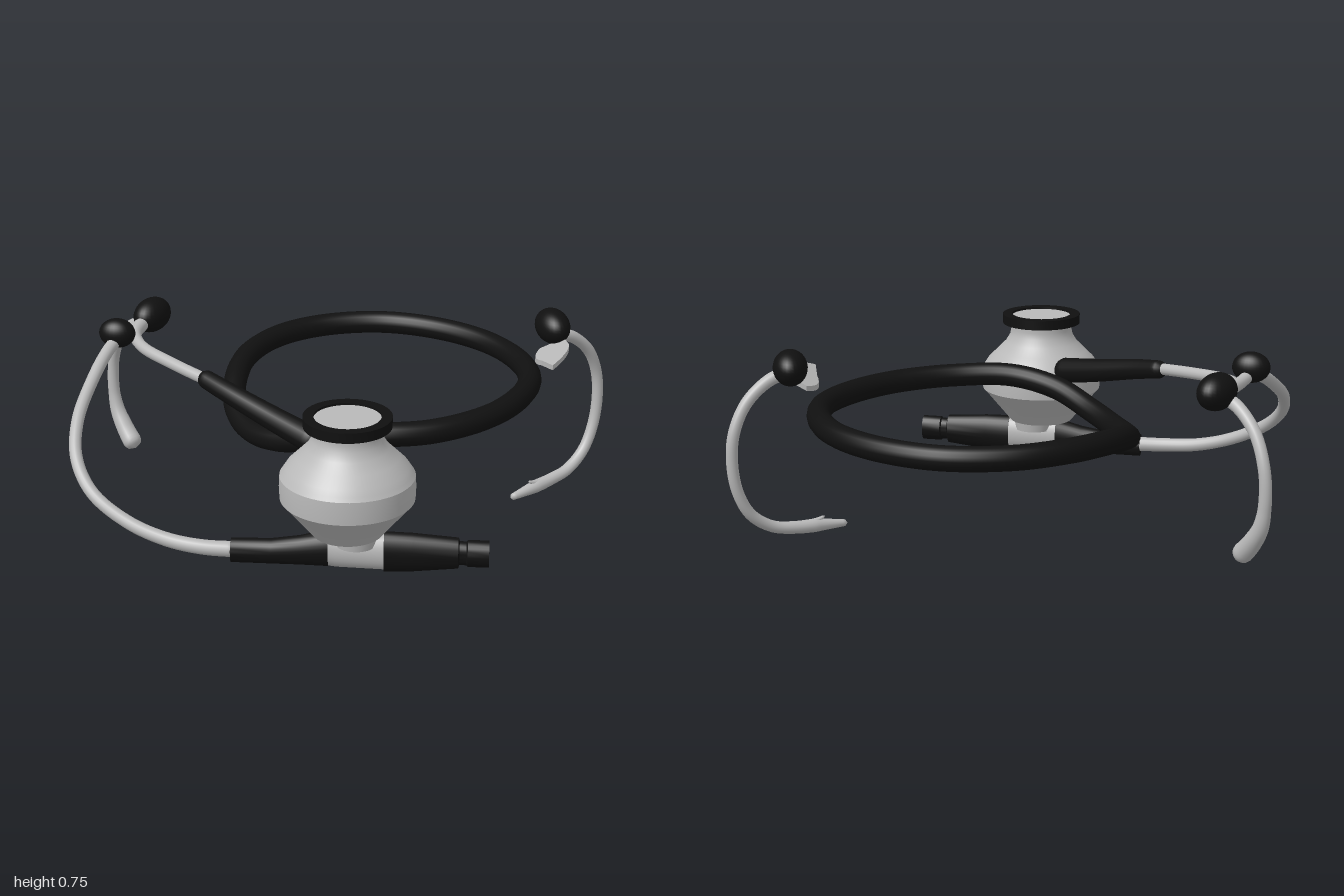
import * as THREE from 'three';
import { mergeVertices, toCreasedNormals } from 'three/addons/utils/BufferGeometryUtils.js';

const V = (p) => new THREE.Vector3(...p);

// Round tube through points; radii are spread along its length, ends are domed.
function sweep(points, radii, closed = false) {
  const curve = new THREE.CatmullRomCurve3(points.map(V), closed, 'centripetal');
  const len = curve.getLength();
  const n = Math.ceil(len / 0.012), sides = 16;
  let geo = new THREE.TubeGeometry(curve, n, 1, sides, closed);
  const pos = geo.attributes.position, v = new THREE.Vector3();
  for (let i = 0; i <= n; i++) {
    const t = i / n, c = curve.getPointAt(t);
    const f = t * (radii.length - 1), k = Math.min(Math.floor(f), radii.length - 2);
    let r = radii.length > 1 ? THREE.MathUtils.lerp(radii[k], radii[k + 1], f - k) : radii[0];
    const s = Math.min(t, 1 - t) * len;
    if (!closed && s < r) r *= Math.sqrt(Math.max(0, 1 - (1 - s / r) ** 2));
    for (let j = 0; j <= sides; j++) {
      const q = i * (sides + 1) + j;
      v.fromBufferAttribute(pos, q).sub(c).multiplyScalar(r).add(c);
      pos.setXYZ(q, v.x, v.y, v.z);
    }
  }
  geo.deleteAttribute('uv');
  geo.deleteAttribute('normal');
  geo = mergeVertices(geo, 1e-5);
  geo.computeVertexNormals();
  return geo;
}

// Oval solid along x from sections [x, centreY, radiusY, radiusZ].
function ovalLoft(sections, z) {
  const n = sections.length - 1;
  const geo = new THREE.CylinderGeometry(1, 1, 1, 28, n);
  const p = geo.attributes.position;
  for (let i = 0; i < p.count; i++) {
    const [x, yc, ry, rz] = sections[Math.round((p.getY(i) + 0.5) * n)];
    p.setXYZ(i, x, yc - p.getX(i) * ry, z + p.getZ(i) * rz);
  }
  geo.deleteAttribute('uv');
  return toCreasedNormals(geo, 0.6);
}

function lathe(profile) {
  const geo = new THREE.LatheGeometry(profile.map(([r, y]) => new THREE.Vector2(r, y)), 56);
  return toCreasedNormals(geo, 0.45);
}

export function createModel() {
  const group = new THREE.Group();
  const black = new THREE.MeshStandardMaterial({ color: 0x101010, name: 'black rubber' });
  const grey = new THREE.MeshStandardMaterial({ color: 0xb9b9b9, name: 'grey metal' });
  const add = (name, geo, mat) => {
    const m = new THREE.Mesh(geo, mat);
    m.name = name;
    group.add(m);
    return m;
  };
  const cx = 0.07, cz = 0.64;

  // Chest piece: drum, black rim, membrane
  add('chestPiece', lathe([
    [0, 0.25], [0.125, 0.25], [0.135, 0.262], [0.228, 0.375], [0.238, 0.385], [0.24, 0.43],
    [0.238, 0.47], [0.228, 0.485], [0.215, 0.505], [0.18, 0.54], [0.145, 0.575],
    [0.127, 0.605], [0.122, 0.63], [0.125, 0.66], [0, 0.66],
  ]), grey).position.set(cx, 0, cz);
  add('chestRim', lathe([
    [0.118, 0.652], [0.155, 0.652], [0.156, 0.69], [0.118, 0.69], [0.118, 0.652],
  ]), black).position.set(cx, 0, cz);
  add('membrane', new THREE.CylinderGeometry(0.12, 0.12, 0.02, 48), grey).position.set(cx, 0.672, cz);

  // Stem block and the rubber sleeves on both sides of it
  add('stemBlock', ovalLoft([
    [-0.01, 0.183, 0.066, 0.044], [0.03, 0.18, 0.068, 0.046], [0.2, 0.178, 0.07, 0.046],
  ], cz), grey);
  add('stemNeck', new THREE.CylinderGeometry(0.085, 0.075, 0.06, 24), grey)
    .position.set(0.1, 0.235, cz);
  add('leftSleeve', ovalLoft([
    [0.2, 0.176, 0.076, 0.046], [0.3, 0.177, 0.073, 0.044], [0.462, 0.18, 0.058, 0.04],
    [0.466, 0.18, 0.044, 0.034], [0.49, 0.18, 0.044, 0.034], [0.495, 0.18, 0.05, 0.038],
    [0.57, 0.18, 0.05, 0.038],
  ], cz), black);
  add('rightSleeve', ovalLoft([
    [-0.345, 0.16, 0.045, 0.037], [-0.2, 0.162, 0.047, 0.038],
    [-0.1, 0.17, 0.055, 0.041], [0.003, 0.182, 0.069, 0.046],
  ], cz), black);

  // Long metal tube sweeping from the sleeve to the small knob
  add('longTube', sweep([
    [-0.32, 0.163, 0.642], [-0.45, 0.167, 0.64], [-0.58, 0.182, 0.62], [-0.72, 0.225, 0.585],
    [-0.86, 0.305, 0.52], [-0.935, 0.395, 0.42], [-0.953, 0.49, 0.29], [-0.925, 0.59, 0.1],
    [-0.895, 0.645, -0.02], [-0.87, 0.67, -0.1],
  ], [0.029, 0.025, 0.023, 0.023, 0.024]), grey);

  // Yoke: branch to the hose and link between the knobs
  add('yokeBranch', sweep([
    [-0.81, 0.655, -0.33], [-0.82, 0.65, -0.2], [-0.77, 0.64, -0.09],
    [-0.64, 0.625, 0.03], [-0.47, 0.605, 0.16],
  ], [0.028, 0.022, 0.022, 0.022]), grey);
  add('yokeLink', sweep([
    [-0.87, 0.67, -0.1], [-0.845, 0.655, -0.18], [-0.815, 0.655, -0.32],
  ], [0.022, 0.024]), grey);

  // Rubber hose: thick lead and one coiled loop with a sag on its right side
  add('hoseLead', sweep([
    [-0.52, 0.612, 0.115], [-0.4, 0.585, 0.21], [-0.22, 0.54, 0.335], [-0.04, 0.5, 0.46],
  ], [0.034, 0.04, 0.046, 0.052]), black);
  add('hoseLoop', sweep([
    [0.13, 0.497, 0.355], [0.34, 0.497, 0.305], [0.53, 0.497, 0.165], [0.65, 0.497, -0.02],
    [0.703, 0.497, -0.24], [0.655, 0.497, -0.45], [0.52, 0.497, -0.65], [0.31, 0.497, -0.79],
    [0.08, 0.497, -0.84], [-0.15, 0.497, -0.78], [-0.32, 0.495, -0.64], [-0.42, 0.48, -0.45],
    [-0.443, 0.445, -0.26], [-0.415, 0.4, -0.08], [-0.34, 0.386, 0.08], [-0.22, 0.41, 0.22],
    [-0.06, 0.465, 0.32],
  ], [0.045], true), black);

  // Knobs
  const knob = (name, p, s, turn) => {
    const m = add(name, new THREE.SphereGeometry(1, 28, 20), black);
    m.position.set(...p);
    m.scale.set(...s);
    m.rotation.y = turn;
  };
  knob('smallKnob', [-0.87, 0.692, -0.1], [0.07, 0.057, 0.052], -0.1);
  for (const side of [-1, 1]) {
    knob('largeKnob', [side * 0.785, 0.667, -0.385], [0.064, 0.067, 0.096], side * 0.36);
  }

  // Curved ear tubes in diagonal planes
  const arc = [
    [0.79, 0.645, -0.345], [0.86, 0.62, -0.4], [0.93, 0.545, -0.46], [0.968, 0.44, -0.5],
    [0.978, 0.33, -0.507],
  ];
  add('leftEarTube', sweep([...arc,
    [0.965, 0.21, -0.495], [0.93, 0.115, -0.46], [0.87, 0.055, -0.4],
    [0.8, 0.035, -0.335], [0.73, 0.028, -0.265], [0.645, 0.018, -0.185],
  ], [0.026, 0.023, 0.022, 0.022, 0.022, 0.022, 0.023, 0.026, 0.012]), grey);
  add('leftEarTipBarb', sweep([
    [0.77, 0.035, -0.305], [0.735, 0.048, -0.27], [0.712, 0.062, -0.25],
  ], [0.02, 0.012, 0.004]), grey);
  add('rightEarTube', sweep([...arc.map(([x, y, z]) => [-x, y, z]),
    [-0.965, 0.22, -0.495], [-0.93, 0.145, -0.465], [-0.88, 0.075, -0.42],
  ], [0.026, 0.023, 0.022, 0.022, 0.024, 0.034, 0.04]), grey);

  // Leaf-shaped tab beside the left knob, tilted down towards the middle
  const leaf = new THREE.Shape();
  leaf.moveTo(0.74, -0.34);
  leaf.quadraticCurveTo(0.7, -0.27, 0.745, -0.2);
  leaf.lineTo(0.785, -0.1);
  leaf.quadraticCurveTo(0.85, -0.17, 0.847, -0.25);
  leaf.lineTo(0.83, -0.34);
  const leafGeo = new THREE.ExtrudeGeometry(leaf, { depth: 0.02, bevelEnabled: false, curveSegments: 10 });
  leafGeo.rotateX(Math.PI / 2);
  const lp = leafGeo.attributes.position;
  for (let i = 0; i < lp.count; i++) {
    lp.setY(i, lp.getY(i) + 0.575 + (lp.getX(i) - 0.71) * 0.5);
  }
  leafGeo.computeVertexNormals();
  add('leafTab', leafGeo, grey);

  return group;
}
